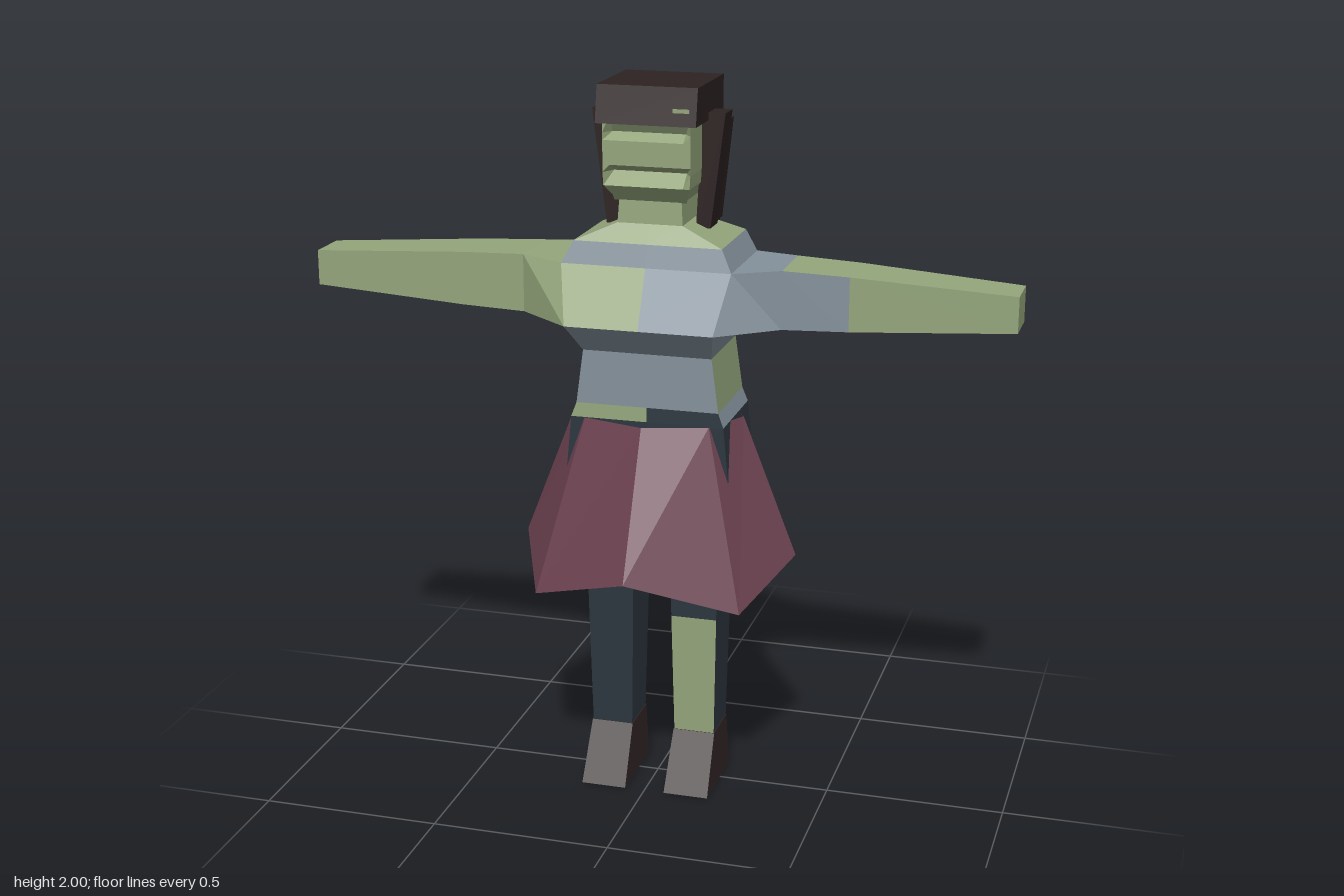
import * as THREE from 'three';

const mat = (name, color) => {
  const m = new THREE.MeshStandardMaterial({ color });
  m.name = name;
  return m;
};
const M = {
  skin: mat('skin', 0x94a57b),
  shirt: mat('shirt', 0x84919b),
  trousers: mat('trousers', 0x2d373f),
  skirt: mat('skirt', 0x6d4251),
  hair: mat('hair', 0x2d2221),
  shoe: mat('shoe', 0x332727),
  patch: mat('patch', 0x7c1f1f),
};
M.skirt.side = THREE.DoubleSide;

// Joins rings of [x, y, z] points; pick(band, side) gives each face its material.
function loft(name, rings, pick, { bottom = true, top = true } = {}) {
  const faces = new Map();
  const tri = (key, ...pts) => {
    if (!faces.has(key)) faces.set(key, []);
    pts.forEach((p) => faces.get(key).push(...p));
  };
  const n = rings[0].length, last = rings.length - 1;
  for (let r = 0; r < last; r++) {
    const a = rings[r], b = rings[r + 1];
    for (let i = 0; i < n; i++) {
      const j = (i + 1) % n, key = pick(r, i);
      tri(key, a[i], a[j], b[j]);
      tri(key, a[i], b[j], b[i]);
    }
  }
  for (let i = 1; i < n - 1; i++) {
    if (bottom) tri(pick(0, 0), rings[0][0], rings[0][i + 1], rings[0][i]);
    if (top) tri(pick(last - 1, 0), rings[last][0], rings[last][i], rings[last][i + 1]);
  }
  const group = new THREE.Group();
  group.name = name;
  for (const [key, pos] of faces) {
    const g = new THREE.BufferGeometry();
    g.setAttribute('position', new THREE.Float32BufferAttribute(pos, 3));
    g.computeVertexNormals();
    const mesh = new THREE.Mesh(g, M[key]);
    mesh.name = `${name} ${key}`;
    group.add(mesh);
  }
  return group;
}

// Four-cornered ring; sides are 0 front, 1 +x, 2 back, 3 -x
const rect = (y, x0, x1, zf, zb) => [[x0, y, zf], [x1, y, zf], [x1, y, zb], [x0, y, zb]];
const mirrorRing = (ring) => ring.map(([x, y, z]) => [-x, y, z]).reverse();

export function createModel() {
  const model = new THREE.Group();
  model.name = 'figure';

  // Torso, hips and neck: y, half width, front z, back z
  const body = [
    [0.88, 0.235, 0.115, -0.165], [1.09, 0.215, 0.115, -0.16], [1.13, 0.2, 0.113, -0.155],
    [1.28, 0.18, 0.112, -0.15], [1.365, 0.205, 0.2, -0.165], [1.52, 0.235, 0.125, -0.165],
    [1.58, 0.205, 0.108, -0.155], [1.63, 0.09, 0.08, -0.09], [1.71, 0.085, 0.075, -0.09],
  ].map(([y, w, f, b]) => [[0, y, f], [w, y, f], [w, y, b], [0, y, b], [-w, y, b], [-w, y, f]]);
  // Sides run: front left, left, back left, back right, right, front right
  const s = 'shirt', k = 'skin', t = 'trousers';
  const bodyColours = [
    [t, t, t, t, t, t],
    [t, s, s, s, s, k],
    [s, k, k, 'patch', s, s],
    [s, s, s, s, s, s],
    [s, s, s, s, s, k],
    [s, s, s, s, s, s],
    [k, k, k, k, k, k],
    [k, k, k, k, k, k],
  ];
  model.add(loft('torso', body, (r, i) => bodyColours[r][i]));

  // Head with recessed mouth and eye bands: y, half width, corner z, inner z
  const head = [
    [1.69, 0.09, 0.075, 0.075], [1.735, 0.118, 0.115, 0.115], [1.77, 0.12, 0.115, 0.075],
    [1.79, 0.12, 0.115, 0.115], [1.855, 0.12, 0.115, 0.115], [1.875, 0.12, 0.115, 0.085],
    [1.92, 0.12, 0.115, 0.115],
  ].map(([y, w, f, m]) => [
    [0, y, m], [0.1, y, m], [w, y, f], [w, y, -0.14], [-w, y, -0.14], [-w, y, f], [-0.1, y, m],
  ]);
  model.add(loft('head', head, () => 'skin'));

  // Arms: rings run top back, top front, bottom front, bottom back
  const armRing = (x, yt, yb, zf, zb) => [[x, yt, zb], [x, yt, zf], [x, yb, zf], [x, yb, zb]];
  const arm = [
    [[0.235, 1.52, -0.165], [0.235, 1.52, 0.125], [0.205, 1.365, 0.2], [0.205, 1.365, -0.165]],
    armRing(0.36, 1.525, 1.365, 0.075, -0.115),
    armRing(0.54, 1.518, 1.37, 0.068, -0.107),
    armRing(0.98, 1.49, 1.392, 0.045, -0.085),
  ];
  model.add(loft('leftArm', arm, (r, i) => (r === 0 || (r === 1 && i === 1) ? 'shirt' : 'skin'), { bottom: false }));
  model.add(loft('rightArm', arm.map(mirrorRing), () => 'skin', { bottom: false }));

  // Legs and shoes; the left shin is bare at the front
  for (const side of [1, -1]) {
    const c = side * 0.121, label = side > 0 ? 'left' : 'right';
    const leg = [[0.16, 0.058, 0.052, -0.085], [0.51, 0.065, 0.062, -0.097], [0.95, 0.073, 0.075, -0.115]]
      .map(([y, w, f, b]) => rect(y, c - w, c + w, f, b));
    model.add(loft(label + 'Leg', leg, (r, i) => (side > 0 && r === 0 && i === 0 ? 'skin' : 'trousers')));
    model.add(loft(label + 'Shoe', [
      rect(0, c - 0.064, c + 0.064, 0.145, -0.102),
      rect(0.16, c - 0.06, c + 0.06, 0.054, -0.087),
    ], () => 'shoe'));
  }

  // Flared eight-panel skirt, hem dipping at the diagonals
  const eight = (f, dx, df, sx, sz, db, b, y, dy) => [
    [0, y, f], [dx, dy, df], [sx, y, sz], [dx, dy, db],
    [0, y, b], [-dx, dy, db], [-sx, y, sz], [-dx, dy, df],
  ];
  model.add(loft('skirt', [
    eight(0.345, 0.29, 0.22, 0.392, -0.015, -0.24, -0.345, 0.7, 0.6),
    eight(0.17, 0.175, 0.118, 0.24, -0.012, -0.155, -0.2, 1.09, 1.09),
  ], () => 'skirt', { bottom: false, top: false }));

  // Hair cap and long back locks
  const hair = (name, ...rings) => model.add(loft(name, rings.map((r) => rect(...r)), () => 'hair'));
  hair('hairCap', [1.9, -0.137, 0.137, 0.125, -0.16], [2, -0.137, 0.137, 0.106, -0.16]);
  hair('backHair', [1.39, -0.115, 0.115, -0.165, -0.195], [1.8, -0.13, 0.13, -0.13, -0.187],
    [1.95, -0.13, 0.13, -0.13, -0.185]);
  hair('backLock', [1.4, -0.085, 0.085, -0.17, -0.2], [1.8, -0.095, 0.095, -0.17, -0.203]);

  // Side locks, two on each side
  for (const side of [1, -1]) {
    const lock = (name, yb, yt, inB, outB, inT, outT, f, b) => {
      const span = (a, c) => [Math.min(side * a, side * c), Math.max(side * a, side * c)];
      hair(name, [yb, ...span(inB, outB), f, b], [yt, ...span(inT, outT), f, b]);
    };
    lock('frontSideLock', 1.61, 1.92, 0.105, 0.145, 0.122, 0.184, 0, -0.075);
    lock('rearSideLock', 1.61, 1.885, 0.095, 0.135, 0.115, 0.165, -0.07, -0.165);
  }

  // Small parting in the fringe
  const gap = new THREE.Mesh(new THREE.BoxGeometry(0.045, 0.01, 0.008), M.skin);
  gap.position.set(0.095, 1.94, 0.117);
  gap.name = 'fringeParting';
  model.add(gap);

  return model;
}
